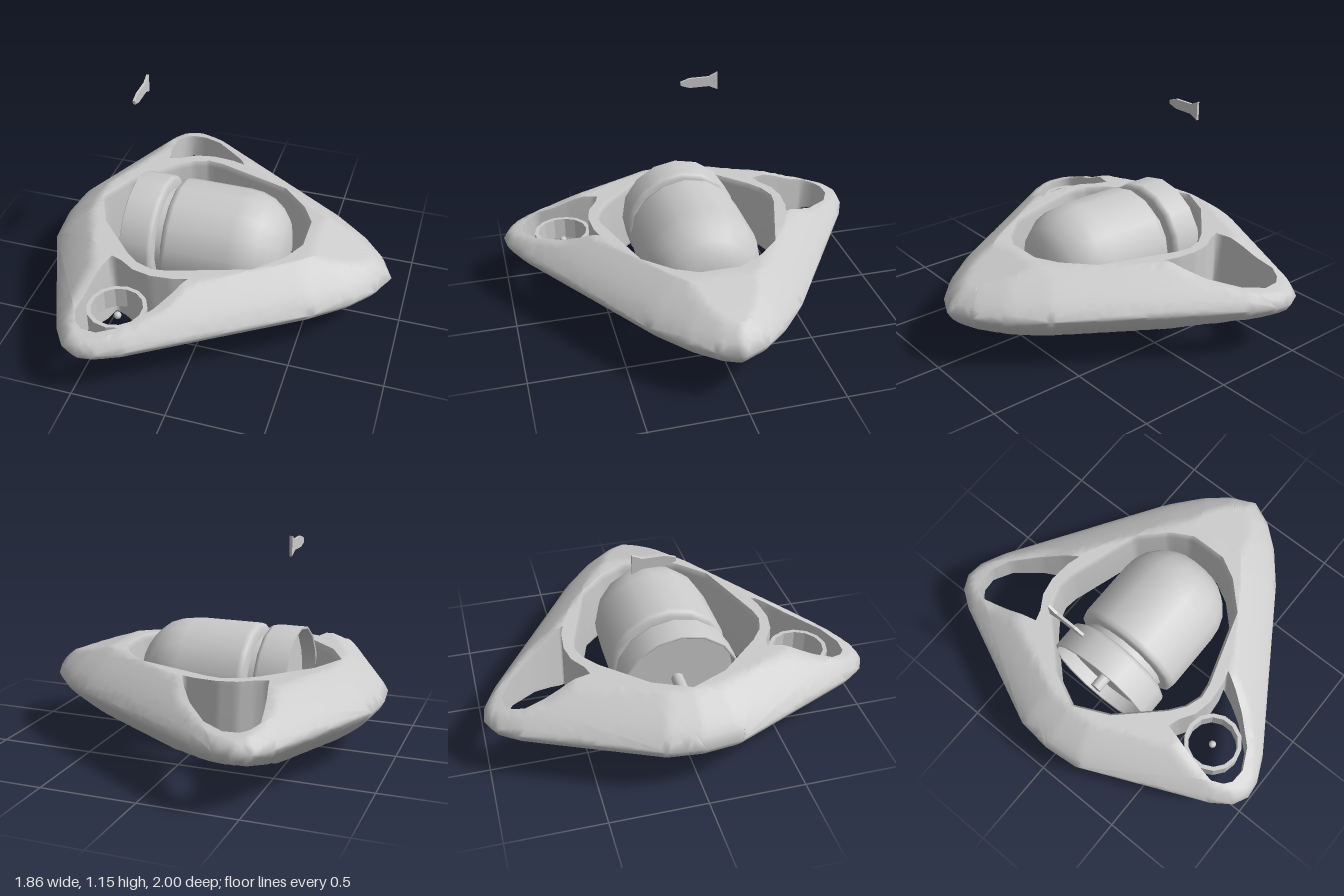
import * as THREE from 'three';
import { mergeVertices } from 'three/addons/utils/BufferGeometryUtils.js';

const MID = 0.29;    // height of the hull's sharp outer edge
const STEP = 0.045;  // longest edge allowed on the hull skin
const grey = new THREE.MeshStandardMaterial({ color: 0xcccccc, side: THREE.DoubleSide });

const vec = (list) => list.map(([x, z]) => new THREE.Vector2(x, z));
const mirrored = (half) => vec([
  ...half,
  ...half.filter(([, z]) => z !== 0).reverse().map(([x, z]) => [x, -z]),
]);

// Plan curves as (x, z)
const outline = mirrored([[-0.93, 0], [-0.91, 0.19], [-0.61, 0.86], [-0.54, 0.96], [-0.46, 1], [-0.37, 0.99],
  [-0.24, 0.93], [0.59, 0.4], [0.76, 0.26], [0.87, 0.13], [0.93, 0]]);
const centreHole = mirrored([[-0.7, 0], [-0.61, 0.19], [-0.4, 0.41], [-0.32, 0.47], [-0.23, 0.5], [-0.15, 0.49],
  [0.26, 0.36], [0.4, 0.22], [0.465, 0.1]]);
const sidePoints = [[-0.53, 0.8], [-0.5, 0.86], [-0.46, 0.89], [-0.38, 0.895], [-0.27, 0.84], [-0.15, 0.71],
  [-0.08, 0.61], [-0.03, 0.52], [-0.1, 0.54], [-0.22, 0.55], [-0.32, 0.53], [-0.4, 0.48], [-0.46, 0.46], [-0.5, 0.62]];
const sideHoles = [1, -1].map((s) => vec(sidePoints.map(([x, z]) => [x, s * z])));

function distanceToOutline(p) {
  let best = Infinity;
  outline.forEach((a, i) => {
    const ab = outline[(i + 1) % outline.length].clone().sub(a);
    const t = THREE.MathUtils.clamp(p.clone().sub(a).dot(ab) / ab.lengthSq(), 0, 1);
    best = Math.min(best, p.distanceTo(a.clone().addScaledVector(ab, t)));
  });
  return best < 1e-5 ? 0 : best;
}

// Half thickness: swells in from the edge, thins toward the side tips and the nose
const tipCurve = [[0, 0.2], [0.55, 0.19], [0.7, 0.125], [0.9, 0.072], [1.01, 0.04]];
function halfThickness(p) {
  const z = Math.abs(p.y);
  const k = Math.max(1, tipCurve.findIndex(([t]) => t >= z));
  const [z0, h0] = tipCurve[k - 1], [z1, h1] = tipCurve[k];
  const tip = h0 + (h1 - h0) * (z - z0) / (z1 - z0);
  const edge = 0.19 * Math.pow(distanceToOutline(p) / 0.2, 0.7);
  return Math.min(edge, tip, 0.205 - 0.3 * (p.x - 0.5));
}

// Halve the longest edge until the triangle is small enough
function split(a, b, c, out) {
  const ab = a.distanceTo(b), bc = b.distanceTo(c), ca = c.distanceTo(a);
  const longest = Math.max(ab, bc, ca);
  if (longest <= STEP) { out.push([a, b, c]); return; }
  if (longest === bc) [a, b, c] = [b, c, a];
  else if (longest === ca) [a, b, c] = [c, a, b];
  const m = a.clone().add(b).multiplyScalar(0.5);
  split(a, m, c, out);
  split(m, b, c, out);
}

function hullSkin() {
  const shape = new THREE.Shape(outline);
  shape.holes = [centreHole, ...sideHoles].map((h) => new THREE.Path(h));
  const flat = new THREE.ShapeGeometry(shape).toNonIndexed().attributes.position;
  const at = (i) => new THREE.Vector2(flat.getX(i), flat.getY(i));
  const tris = [];
  for (let i = 0; i < flat.count; i += 3) split(at(i), at(i + 1), at(i + 2), tris);
  const pos = [];
  for (const [a, b, c] of tris) {
    for (const p of [c, b, a]) pos.push(p.x, MID + halfThickness(p), p.y);
    for (const p of [a, b, c]) pos.push(p.x, MID - halfThickness(p), p.y);
  }
  const geo = new THREE.BufferGeometry();
  geo.setAttribute('position', new THREE.Float32BufferAttribute(pos, 3));
  const merged = mergeVertices(geo, 1e-4);
  merged.computeVertexNormals();
  return merged;
}

// Wall lining a hole, swelling slightly inward at mid height
function holeWall(loop, squeeze) {
  const pts = [];
  const edge = (a, b) => {
    if (a.distanceTo(b) <= STEP) { pts.push(a); return; }
    const m = a.clone().add(b).multiplyScalar(0.5);
    edge(a, m);
    edge(m, b);
  };
  loop.forEach((a, i) => edge(a, loop[(i + 1) % loop.length]));
  const centre = loop.reduce((s, p) => s.add(p), new THREE.Vector2()).divideScalar(loop.length);
  const rows = [[1, 1], [0.85, squeeze], [-0.85, squeeze], [-1, 1]];
  const pos = [], index = [], n = pts.length;
  rows.forEach(([level, scale], r) => pts.forEach((p, i) => {
    const q = p.clone().sub(centre).multiplyScalar(scale).add(centre);
    pos.push(q.x, MID + level * halfThickness(p), q.y);
    if (r === 0) return;
    const j = (i + 1) % n, u = (r - 1) * n, v = r * n;
    index.push(u + i, u + j, v + i, u + j, v + j, v + i);
  }));
  const geo = new THREE.BufferGeometry();
  geo.setAttribute('position', new THREE.Float32BufferAttribute(pos, 3));
  geo.setIndex(index);
  geo.computeVertexNormals();
  return geo;
}

// Lathe along x from (x, radius) points
function turned(points, sides) {
  const geo = new THREE.LatheGeometry(points.map(([x, r]) => new THREE.Vector2(r, x)), sides);
  return geo.rotateZ(-Math.PI / 2);
}

export function createModel() {
  const model = new THREE.Group();
  const add = (name, geo, x = 0, y = 0, z = 0) => {
    const mesh = new THREE.Mesh(geo, grey);
    mesh.name = name;
    mesh.position.set(x, y, z);
    model.add(mesh);
  };

  // Triangular hull with three openings
  add('hull', hullSkin());
  add('centreWall', holeWall(centreHole, 0.97));
  sideHoles.forEach((h, i) => add(i ? 'rearSideWall' : 'frontSideWall', holeWall(h, 0.99)));

  // Central pod: domed body, neck and hollow rear collar
  add('podBody', turned([[-0.27, 0.25], [-0.268, 0.29], [-0.255, 0.312], [-0.23, 0.318], [0.1, 0.318], [0.17, 0.31],
    [0.24, 0.285], [0.3, 0.24], [0.345, 0.18], [0.368, 0.1], [0.372, 0]], 16), 0, 0.32);
  add('podNeck', turned([[-0.34, 0.25], [-0.25, 0.25]], 16), 0, 0.32);
  add('podCollar', turned([[-0.485, 0.305], [-0.49, 0.312], [-0.485, 0.318], [-0.34, 0.318], [-0.322, 0.31],
    [-0.312, 0.29], [-0.31, 0.25]], 16), 0, 0.32);
  add('collarInside', turned([[-0.485, 0.305], [-0.41, 0.3]], 16), 0, 0.32);
  add('collarFloor', new THREE.CircleGeometry(0.3, 16).rotateY(-Math.PI / 2), -0.41, 0.32);
  add('rearKnob', new THREE.CylinderGeometry(0.033, 0.033, 0.11, 10).rotateZ(Math.PI / 2), -0.463, 0.32);

  // Ring and hub in the front side opening
  const ring = [[0.155, -0.06], [0.155, 0.06], [0.133, 0.06], [0.133, -0.06], [0.155, -0.06]];
  add('ring', new THREE.LatheGeometry(vec(ring), 14).toNonIndexed(), -0.355, 0.29, 0.68);
  model.children.at(-1).geometry.computeVertexNormals();
  add('ringHub', new THREE.SphereGeometry(0.02, 12, 8), -0.355, 0.29, 0.68);

  // Small floating dart, drawn as (z, y) and extruded along x
  const dart = new THREE.Shape(vec([[-0.04, 0.01], [-0.09, 0.027], [-0.2, 0.027], [-0.25, 0.05],
    [-0.25, -0.05], [-0.2, -0.027], [-0.09, -0.027], [-0.04, -0.01]]));
  const dartGeo = new THREE.ExtrudeGeometry(dart, { depth: 0.014, bevelEnabled: false });
  add('dart', dartGeo.rotateY(-Math.PI / 2), -0.485, 1.1, 0);

  return model;
}
